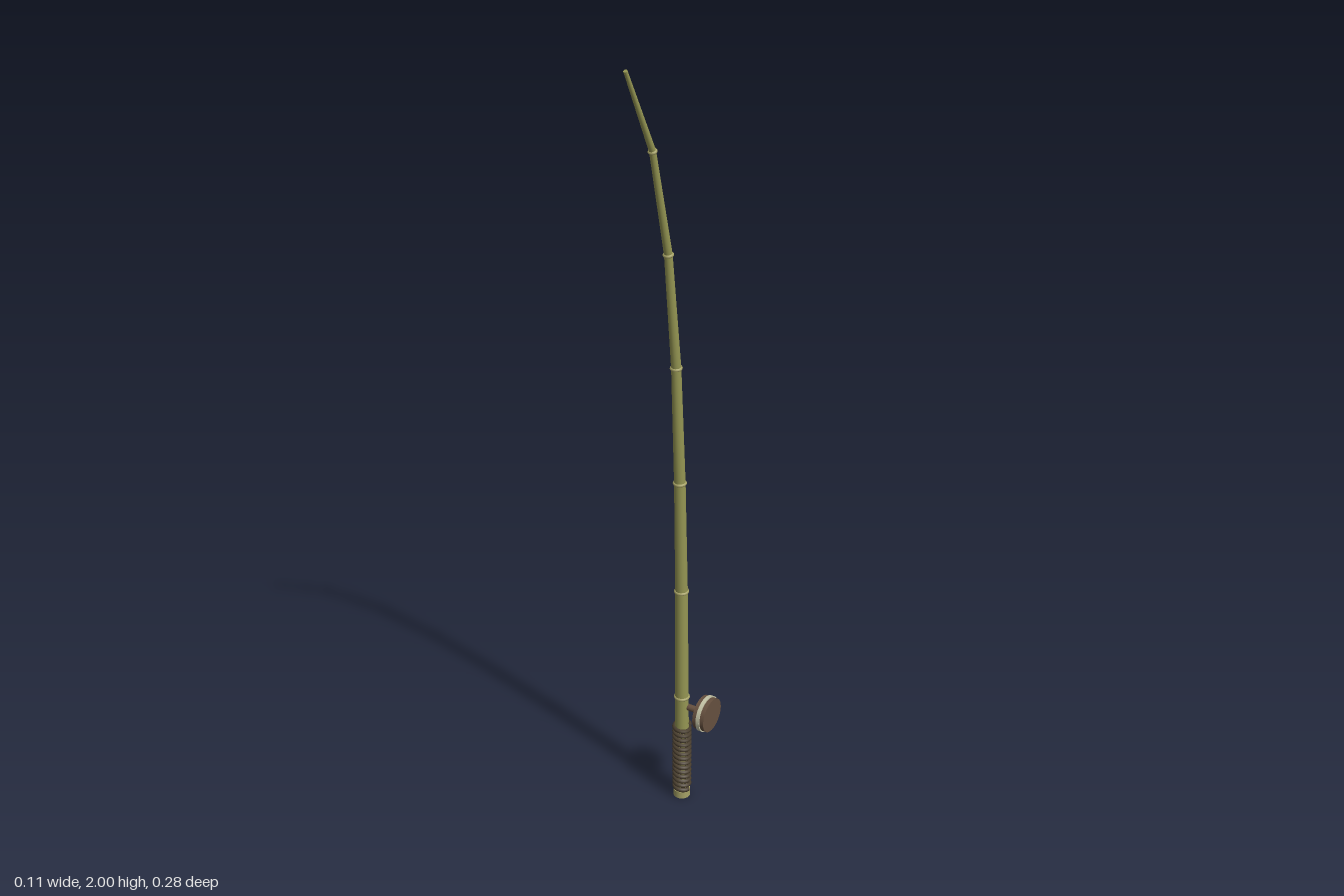
import * as THREE from 'three';

const X = -0.032, Z = -0.092;
const UP = new THREE.Vector3(0, 1, 0);
const mat = (color) => new THREE.MeshStandardMaterial({ color });

export function createModel() {
  const rod = new THREE.Group();
  rod.name = 'fishingRod';
  const bamboo = mat(0x959653), nodeMat = mat(0xa6a266), cord = mat(0x4a3f2f);
  const wood = mat(0x66503f), line = mat(0xc4c3a6);

  const add = (name, geometry, material, position, direction = UP) => {
    const mesh = new THREE.Mesh(geometry, material);
    mesh.name = name;
    mesh.position.copy(position);
    mesh.quaternion.setFromUnitVectors(UP, direction);
    rod.add(mesh);
    return mesh;
  };

  // Joints of the bending pole: y, z, radius
  const joints = [
    [0, Z, 0.0195], [0.315, -0.091, 0.0175], [0.635, -0.088, 0.0158],
    [0.945, -0.079, 0.014], [1.255, -0.062, 0.012], [1.545, -0.028, 0.0098],
    [1.8, 0.035, 0.0077], [1.998, 0.137, 0.0045],
  ];
  const point = ([y, z]) => new THREE.Vector3(X, y, z);

  // Tapered bamboo segments with a swollen ring at each joint
  for (let i = 0; i < joints.length - 1; i++) {
    const a = point(joints[i]), b = point(joints[i + 1]);
    const dir = b.clone().sub(a), length = dir.length();
    dir.normalize();
    const r0 = joints[i][2], r1 = joints[i + 1][2];
    add('bambooSegment', new THREE.CylinderGeometry(r1, r0, length, 16), bamboo,
      a.clone().lerp(b, 0.5), dir);
    if (i > 0) {
      const prev = a.clone().sub(point(joints[i - 1])).normalize();
      const ring = new THREE.TorusGeometry(r0 - 0.001, 0.0042, 8, 20).rotateX(Math.PI / 2);
      add('bambooNode', ring, nodeMat, a, dir.clone().add(prev).normalize());
    }
  }

  // Butt cap below the grip
  add('buttCap', new THREE.CylinderGeometry(0.022, 0.022, 0.02, 20), nodeMat,
    new THREE.Vector3(X, 0.01, Z));

  // Cord wound around the grip
  const turns = 14, steps = turns * 12, coil = [];
  for (let i = 0; i <= steps; i++) {
    const t = i / steps, a = t * turns * Math.PI * 2;
    coil.push(new THREE.Vector3(Math.cos(a) * 0.0195, 0.024 + t * 0.205, Math.sin(a) * 0.0195));
  }
  add('gripCord', new THREE.TubeGeometry(new THREE.CatmullRomCurve3(coil), steps * 2, 0.006, 8),
    cord, new THREE.Vector3(X, 0, Z));

  // Reel: axle, two wooden flanges and the wound line between them
  const reelPart = (name, x0, x1, radius, material) =>
    add(name, new THREE.CylinderGeometry(radius, radius, x1 - x0, 32), material,
      new THREE.Vector3((x0 + x1) / 2, 0.285, -0.095), new THREE.Vector3(1, 0, 0));
  reelPart('reelAxle', X, 0.026, 0.0085, wood);
  reelPart('innerFlange', 0.023, 0.034, 0.045, wood);
  reelPart('woundLine', 0.034, 0.044, 0.048, line);
  reelPart('outerFlange', 0.044, 0.055, 0.045, wood);

  return rod;
}
